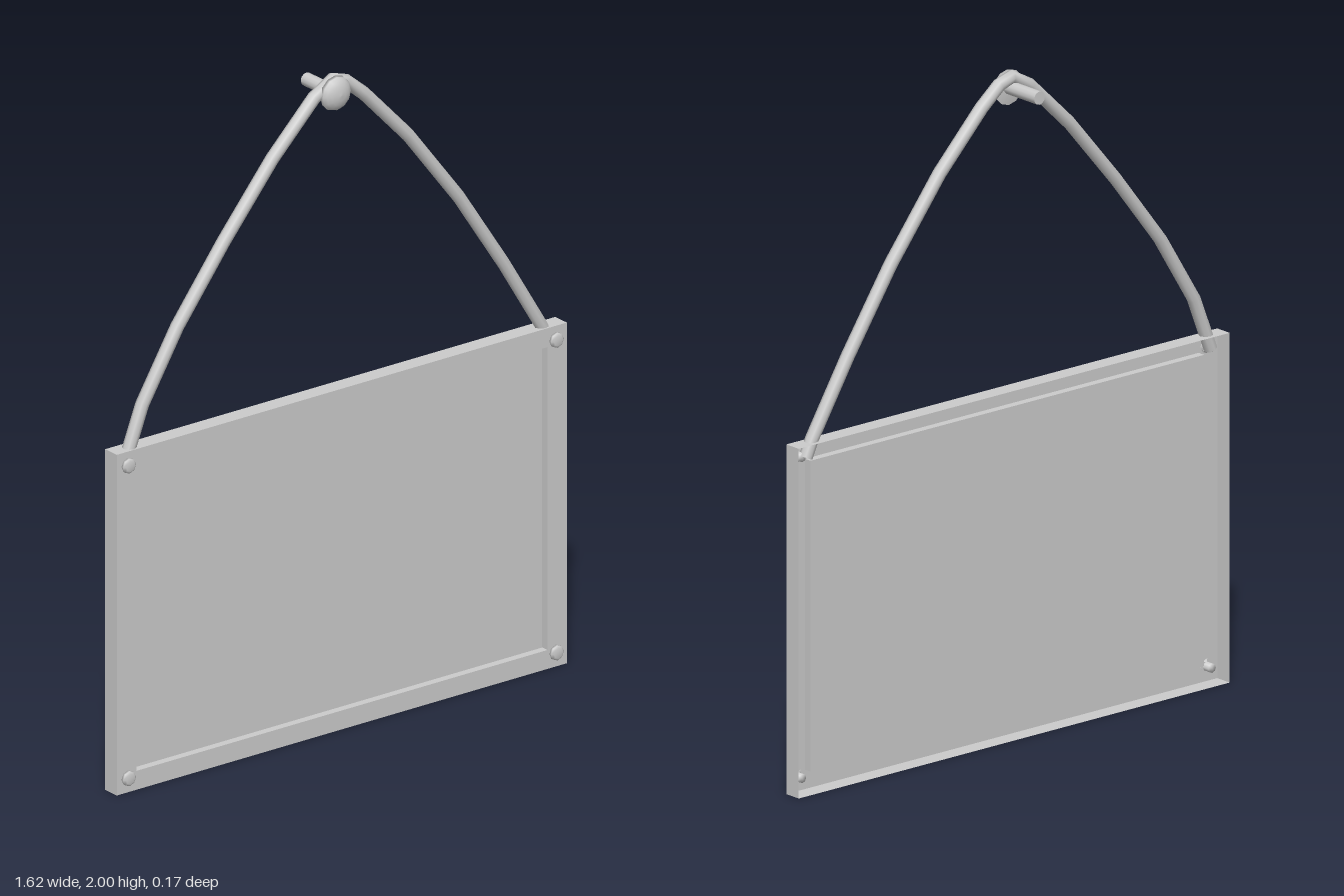
import * as THREE from 'three';

const grey = new THREE.MeshStandardMaterial({ color: 0xcccccc });
const greyDouble = new THREE.MeshStandardMaterial({ color: 0xcccccc, side: THREE.DoubleSide });

function add(parent, name, geometry, material = grey) {
  const mesh = new THREE.Mesh(geometry, material);
  mesh.name = name;
  parent.add(mesh);
  return mesh;
}

// Thin pressed tray: rectangular loops [half width, half height, z], closed by the panel
function trayGeometry(loops, centreY) {
  const positions = [];
  const corners = loops.map(([w, h, z]) =>
    [[-w, -h], [w, -h], [w, h], [-w, h]].map(([x, y]) => [x, y + centreY, z]));
  const quad = (a, b, c, d) => positions.push(...a, ...b, ...c, ...a, ...c, ...d);
  for (let i = 0; i < corners.length - 1; i++) {
    for (let k = 0; k < 4; k++) {
      const n = (k + 1) % 4;
      quad(corners[i][k], corners[i][n], corners[i + 1][n], corners[i + 1][k]);
    }
  }
  quad(...corners[corners.length - 1]);
  const geometry = new THREE.BufferGeometry();
  geometry.setAttribute('position', new THREE.Float32BufferAttribute(positions, 3));
  geometry.computeVertexNormals();
  return geometry;
}

// Straight-sided rope through the given points
function ropeGeometry(points, radius) {
  const curve = new THREE.CatmullRomCurve3(points);
  curve.getUtoTmapping = (u) => u;
  return new THREE.TubeGeometry(curve, points.length - 1, radius, 8, false);
}

export function createModel() {
  const model = new THREE.Group();
  model.name = 'hangingSign';

  // Board with open back and recessed front panel
  add(model, 'board', trayGeometry([
    [0.81, 0.522, 0.015],
    [0.81, 0.522, 0.069],
    [0.74, 0.464, 0.069],
    [0.74, 0.464, 0.045],
  ], 0.523), greyDouble);

  // Corner bolts
  const boltProfile = [[0, 0.045], [0.014, 0.045], [0.014, 0.069], [0.023, 0.069], [0.023, 0.077], [0.016, 0.082], [0, 0.082]]
    .map(([r, y]) => new THREE.Vector2(r, y));
  const boltGeometry = new THREE.LatheGeometry(boltProfile, 8).rotateX(Math.PI / 2);
  for (const x of [-0.77, 0.77]) {
    for (const y of [0.045, 1.003]) {
      add(model, 'cornerBolt', boltGeometry).position.set(x, y, 0);
    }
  }

  // Rope hung over the nail, both ends inside the board
  const path = [
    [-0.765, 1.0], [-0.745, 1.05], [-0.70, 1.164], [-0.571, 1.37], [-0.4, 1.587], [-0.222, 1.794], [-0.07, 1.94],
    [0, 1.98], [0.045, 1.965], [0.11, 1.91], [0.265, 1.746], [0.444, 1.513], [0.603, 1.27], [0.735, 1.05], [0.757, 1.0],
  ].map(([x, y]) => new THREE.Vector3(x, y, 0.027 + 0.019 * Math.abs(x) / 0.76));
  add(model, 'rope', ropeGeometry(path, 0.02), greyDouble);

  // Nail: shaft with domed head
  const nail = new THREE.Group();
  nail.name = 'nail';
  nail.position.set(-0.004, 1.944, 0);
  model.add(nail);
  add(nail, 'nailShaft', new THREE.CylinderGeometry(0.02, 0.02, 0.14, 12).rotateX(Math.PI / 2)).position.z = -0.02;
  const dome = [new THREE.Vector2(0, 0.042)];
  for (let i = 0; i <= 5; i++) {
    const a = (i / 5) * Math.PI / 2;
    dome.push(new THREE.Vector2(0.053 * Math.cos(a), 0.042 + 0.031 * Math.sin(a)));
  }
  add(nail, 'nailHead', new THREE.LatheGeometry(dome, 12).rotateX(Math.PI / 2));

  return model;
}
